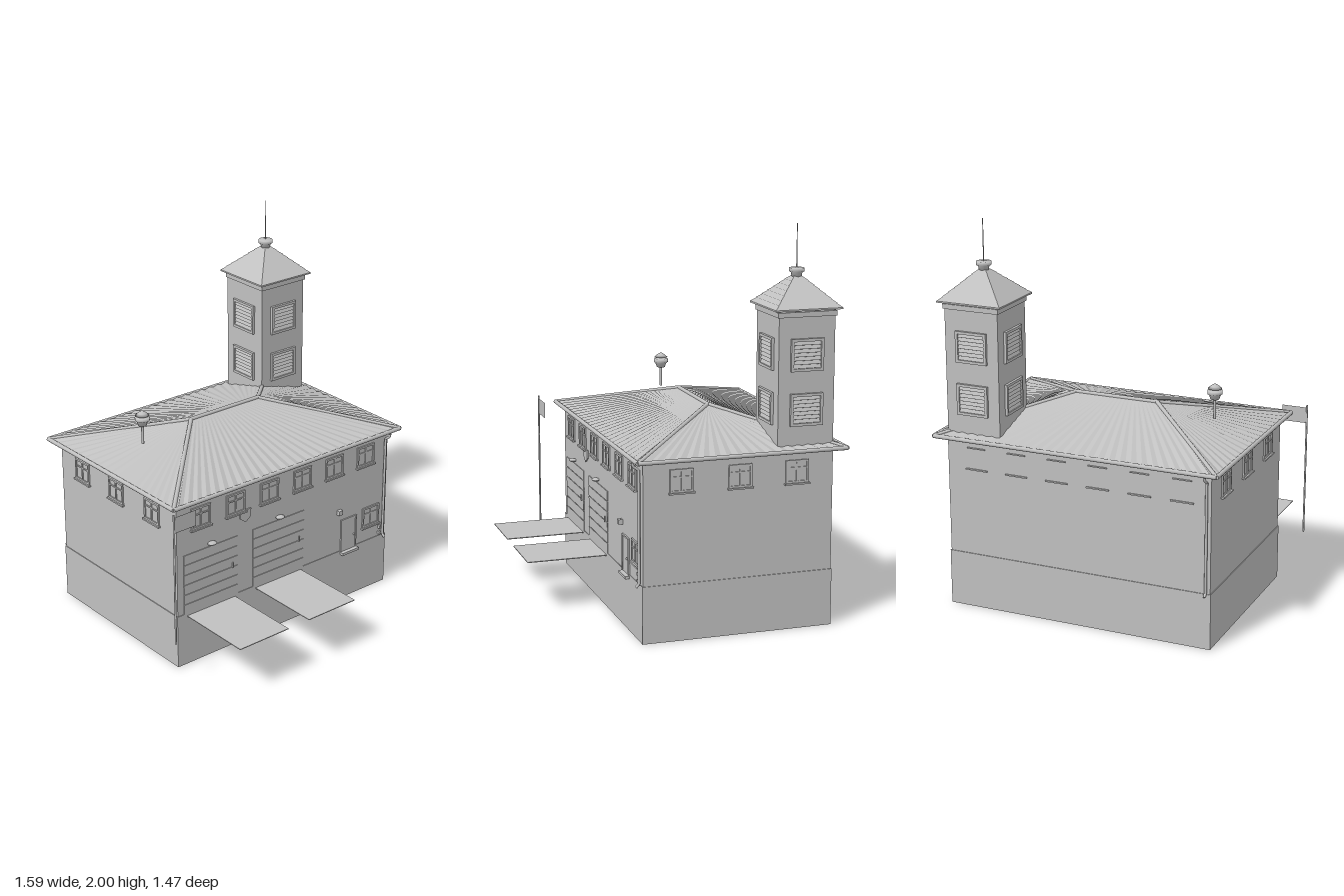
import * as THREE from 'three';

export function createModel() {
  const root = new THREE.Group();
  const grey = new THREE.MeshStandardMaterial({ color: 0xc0c0c0 });
  const greySheet = new THREE.MeshStandardMaterial({ color: 0xc0c0c0, side: THREE.DoubleSide });
  grey.name = 'plain grey';
  greySheet.name = 'plain grey sheet';

  const add = (name, geo, x = 0, y = 0, z = 0, parent = root, mat = grey) => {
    const m = new THREE.Mesh(geo, mat);
    m.name = name;
    m.position.set(x, y, z);
    parent.add(m);
    return m;
  };
  const box = (name, x0, x1, y0, y1, z0, z1, parent = root) =>
    add(name, new THREE.BoxGeometry(x1 - x0, y1 - y0, z1 - z0), (x0 + x1) / 2, (y0 + y1) / 2, (z0 + z1) / 2, parent);
  const flat = (geo) => {
    const g = geo.toNonIndexed();
    g.computeVertexNormals();
    return g;
  };
  const group = (name, x, y, z, turn = 0, parent = root) => {
    const g = new THREE.Group();
    g.name = name;
    g.position.set(x, y, z);
    g.rotation.y = turn;
    parent.add(g);
    return g;
  };
  const rod = (name, a, b, r) => {
    const d = b.clone().sub(a), c = a.clone().add(b).multiplyScalar(0.5);
    const m = add(name, new THREE.CylinderGeometry(r, r, d.length(), 10), c.x, c.y, c.z);
    m.quaternion.setFromUnitVectors(new THREE.Vector3(0, 1, 0), d.normalize());
  };
  const V = (x, y, z) => new THREE.Vector3(x, y, z);
  const lathe = (pts, n = 20) => new THREE.LatheGeometry(pts.map(p => new THREE.Vector2(...p)), n);

  // Body
  const L = -0.685, R = 0.735, F = 0.31, B = -0.67;
  box('base', L - 0.004, R + 0.004, 0, 0.29, B - 0.004, F + 0.003);
  box('walls', L, R, 0.29, 0.91, B, F);
  box('soffit', -0.725, 0.78, 0.903, 0.913, -0.72, 0.345);

  // Hipped roof: folded sheets running from the eaves up to the ridge
  const eave = [V(-0.73, 0.915, 0.35), V(0.785, 0.915, 0.35), V(0.785, 0.915, -0.725), V(-0.73, 0.915, -0.725)];
  const ridge = [V(-0.2, 1.062, -0.188), V(0.25, 1.062, -0.188)];
  const tops = [[0, 1], [1, 1], [1, 0], [0, 0]];
  const pos = [];
  for (let s = 0; s < 4; s++) {
    const n = s % 2 ? 36 : 52;
    const low = i => eave[s].clone().lerp(eave[(s + 1) % 4], i / n).add(V(0, i % 2 ? 0.007 : 0, 0));
    const high = i => ridge[tops[s][0]].clone().lerp(ridge[tops[s][1]], i / n);
    for (let i = 0; i < n; i++) {
      const [a, b, c, d] = [low(i), low(i + 1), high(i + 1), high(i)];
      const tris = s % 2 ? [a, b, c] : [a, b, c, a, c, d];
      tris.forEach(p => pos.push(p.x, p.y, p.z));
    }
  }
  const roof = new THREE.BufferGeometry();
  roof.setAttribute('position', new THREE.Float32BufferAttribute(pos, 3));
  roof.computeVertexNormals();
  add('roof', roof, 0, 0, 0, root, greySheet);
  rod('ridgeCap', ridge[0], ridge[1], 0.011);
  eave.forEach((e, i) => {
    rod('hipCap', e, ridge[i === 1 || i === 2 ? 1 : 0], 0.011);
    rod('gutter', e, eave[(i + 1) % 4], 0.011);
  });

  // Framed window, facing +z, centred on its group
  const win = (w, h, x, y, z, turn) => {
    const g = group('window', x, y, z, turn), t = 0.01;
    box('pane', -w / 2, w / 2, -h / 2, h / 2, -0.002, 0.002, g);
    for (const s of [-1, 1]) {
      box('frameSide', s * (w - t) / 2 - t / 2, s * (w - t) / 2 + t / 2, -h / 2, h / 2, 0, 0.008, g);
      box('frameRail', -w / 2, w / 2, s * (h - t) / 2 - t / 2, s * (h - t) / 2 + t / 2, 0, 0.008, g);
    }
    box('mullion', -0.004, 0.004, -h / 2, h / 2, 0, 0.007, g);
    box('crossbar', -w / 2, w / 2, 0.015, 0.022, 0, 0.007, g);
    box('sill', -w / 2 - 0.006, w / 2 + 0.006, -h / 2 - 0.008, -h / 2, 0, 0.016, g);
  };
  for (let i = 0; i < 6; i++) {
    const x = -0.535 + i * 0.222;
    win(0.12, 0.115, x, 0.805, F, 0);
    // Back wall shows only slim ledges
    box('backLintel', x - 0.05, x + 0.05, 0.855, 0.861, B - 0.006, B);
    box('backSill', x - 0.06, x + 0.06, 0.742, 0.749, B - 0.008, B);
  }
  for (const z of [0.115, -0.185, -0.48]) {
    win(0.12, 0.115, R, 0.805, z, Math.PI / 2);
    win(0.12, 0.115, L, 0.805, z, -Math.PI / 2);
  }
  win(0.12, 0.115, 0.625, 0.433, F, 0);

  // Garage doors with lamps and ramps
  for (const x of [-0.473, -0.028]) {
    for (let i = 0; i < 6; i++)
      box('garagePanel', x - 0.172, x + 0.172, 0.29 + i * 0.0555, 0.342 + i * 0.0555, F, F + 0.004);
    box('garageHandle', x + 0.135, x + 0.142, 0.45, 0.48, F, F + 0.01);
    const lamp = add('garageLamp', new THREE.SphereGeometry(1, 16, 8), x, 0.64, F + 0.015);
    lamp.scale.set(0.026, 0.009, 0.02);
    box('ramp', x - 0.155, x + 0.155, 0.273, 0.277, F, 0.73);
  }

  // Plain shield plate
  const s = new THREE.Shape([[-0.035, 0.035], [0.035, 0.035], [0.035, -0.008], [0, -0.033], [-0.035, -0.008]]
    .map(p => new THREE.Vector2(...p)));
  add('shieldPlate', new THREE.ExtrudeGeometry(s, { depth: 0.007, bevelEnabled: false }), -0.25, 0.715, F);

  // Entrance door
  box('door', 0.418, 0.512, 0.285, 0.465, F, F + 0.004);
  box('doorJamb', 0.41, 0.418, 0.285, 0.473, F, F + 0.008);
  box('doorJamb', 0.512, 0.52, 0.285, 0.473, F, F + 0.008);
  box('doorHead', 0.41, 0.52, 0.465, 0.473, F, F + 0.008);
  box('doorStep', 0.408, 0.525, 0.268, 0.282, F, F + 0.025);
  add('doorKnob', new THREE.SphereGeometry(0.006, 10, 8), 0.5, 0.365, F + 0.01);
  box('wallLamp', 0.38, 0.405, 0.515, 0.54, F, F + 0.022);
  for (const y of [0.31, 0.345]) box('wallBox', 0.683, 0.695, y - 0.008, y + 0.008, F, F + 0.016);

  // Downpipes with an elbow to the gutter
  const pipe = (x, zWall, out) => {
    const z = d => zWall + out * d;
    const path = new THREE.CurvePath();
    const pts = [V(x, 0.905, z(0.045)), V(x, 0.885, z(0.04)), V(x, 0.865, z(0.012)), V(x, 0.3, z(0.012)), V(x, 0.283, z(0.028))];
    for (let i = 0; i < 4; i++) path.add(new THREE.LineCurve3(pts[i], pts[i + 1]));
    add('downpipe', new THREE.TubeGeometry(path, 80, 0.007, 10), 0, 0, 0, root, greySheet);
  };
  pipe(0.71, F, 1);
  pipe(-0.665, B, -1);

  // Flagpole and flag
  add('flagpole', new THREE.CylinderGeometry(0.005, 0.005, 0.71, 12), -0.79, 0.585, 0.43);
  add('flag', new THREE.PlaneGeometry(0.135, 0.085), -0.7225, 0.883, 0.43, root, greySheet);

  // Roof siren
  const siren = group('siren', -0.51, 0, -0.188);
  add('sirenPost', new THREE.CylinderGeometry(0.007, 0.007, 0.14, 12), 0, 1.085, 0, siren);
  add('sirenBowl', lathe([[0, 1.115], [0.022, 1.117], [0.03, 1.14], [0.038, 1.145], [0.038, 1.162], [0, 1.165]]), 0, 0, 0, siren);
  add('sirenCap', lathe([[0, 1.17], [0.036, 1.172], [0.022, 1.184], [0.02, 1.186], [0, 1.198]]), 0, 0, 0, siren);

  // Tower
  const tower = group('tower', 0.585, 0, -0.524);
  box('towerWalls', -0.146, 0.146, 0.93, 1.6, -0.146, 0.146, tower);
  box('towerCornice', -0.153, 0.153, 1.565, 1.59, -0.153, 0.153, tower);
  for (let k = 0; k < 4; k++) {
    const side = group('towerSide', 0, 0, 0, k * Math.PI / 2, tower);
    for (const y of [1.11, 1.38]) {
      const g = group('louvre', 0, y, 0.146, 0, side);
      for (const q of [-1, 1]) {
        box('louvreSide', q * 0.078 - 0.007, q * 0.078 + 0.007, -0.08, 0.08, 0, 0.014, g);
        box('louvreRail', -0.085, 0.085, q * 0.073 - 0.007, q * 0.073 + 0.007, 0, 0.014, g);
      }
      for (let i = 0; i < 7; i++) {
        const slat = add('slat', new THREE.BoxGeometry(0.143, 0.018, 0.003), 0, -0.057 + i * 0.019, 0.005, g);
        slat.rotation.x = -0.4;
      }
    }
  }

  // Stepped pyramid roof with a finial
  const courses = 7;
  box('towerEave', -0.174, 0.174, 1.598, 1.606, -0.174, 0.174, tower);
  for (let i = 0; i < courses; i++) {
    const half = t => 0.174 - 0.15 * t;
    const r0 = half(i / courses), r1 = half((i + 1) / courses) - 0.004, h = 0.14 / courses;
    const g = new THREE.CylinderGeometry(r1 * Math.SQRT2, r0 * Math.SQRT2, h, 4);
    g.rotateY(Math.PI / 4);
    add('shingleCourse', flat(g), 0, 1.606 + (i + 0.5) * h, 0, tower);
  }
  add('finial', lathe([[0, 1.738], [0.024, 1.74], [0.028, 1.762], [0.038, 1.768], [0.038, 1.785], [0, 1.787]]), 0, 0, 0, tower);
  add('lightningRod', new THREE.CylinderGeometry(0.002, 0.003, 0.22, 8), 0, 1.89, 0, tower);

  return root;
}
